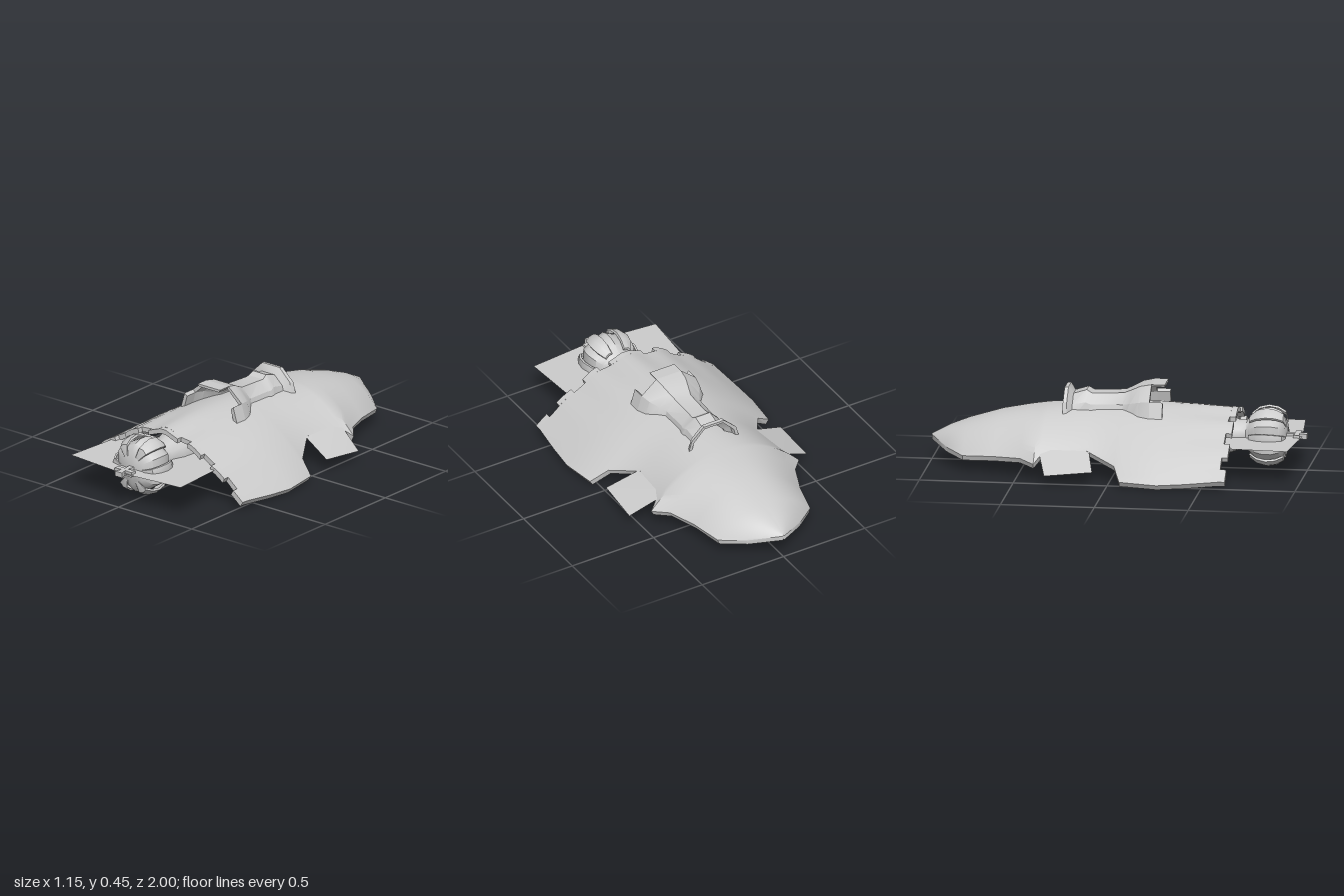
import * as THREE from 'three';
import { toCreasedNormals } from 'three/addons/utils/BufferGeometryUtils.js';

const V = (x, y, z) => new THREE.Vector3(x, y, z);
const material = new THREE.MeshStandardMaterial({ color: 0xcccccc, side: THREE.DoubleSide });

function add(parent, name, geometry) {
  const mesh = new THREE.Mesh(geometry, material);
  mesh.name = name;
  parent.add(mesh);
  return mesh;
}

function fromQuads(quads, crease) {
  const pos = [];
  for (const [a, b, c, d] of quads) for (const p of [a, b, c, a, c, d]) pos.push(p.x, p.y, p.z);
  const g = new THREE.BufferGeometry();
  g.setAttribute('position', new THREE.Float32BufferAttribute(pos, 3));
  return toCreasedNormals(g, crease);
}

// Closed thin shell between two grids: rows run along +z, columns along +x
function shell(outer, inner, crease = 0.6) {
  const quads = [], R = outer.length - 1, C = outer[0].length - 1;
  for (let i = 0; i < R; i++) {
    for (let j = 0; j < C; j++) {
      quads.push([outer[i][j], outer[i + 1][j], outer[i + 1][j + 1], outer[i][j + 1]]);
      quads.push([inner[i][j], inner[i][j + 1], inner[i + 1][j + 1], inner[i + 1][j]]);
    }
    quads.push([outer[i][0], inner[i][0], inner[i + 1][0], outer[i + 1][0]]);
    quads.push([outer[i][C], outer[i + 1][C], inner[i + 1][C], inner[i][C]]);
  }
  for (let j = 0; j < C; j++) {
    quads.push([outer[0][j], outer[0][j + 1], inner[0][j + 1], inner[0][j]]);
    quads.push([outer[R][j], inner[R][j], inner[R][j + 1], outer[R][j + 1]]);
  }
  return fromQuads(quads, crease);
}

// Hull stations: z, half width, crown height, edge height
const hullRows = [
  [-1, 0.006, 0.14, 0.135], [-0.9, 0.165, 0.19, 0.105], [-0.8, 0.285, 0.227, 0.09],
  [-0.63, 0.325, 0.278, 0.1], [-0.48, 0.385, 0.305, 0.108], [-0.4, 0.455, 0.315, 0.095],
  [-0.37, 0.41, 0.32, 0.13], [-0.13, 0.36, 0.335, 0.155], [0.03, 0.46, 0.343, 0.1],
  [0.07, 0.55, 0.345, 0.035], [0.27, 0.573, 0.345, 0.028], [0.42, 0.563, 0.338, 0.037],
  [0.6, 0.545, 0.325, 0.052],
];

function hullPoint([z, w, top, edge], t, inside) {
  const power = THREE.MathUtils.lerp(2.3, 1.75, THREE.MathUtils.smoothstep(z, -0.5, 0.1));
  const fold = 0.009 * THREE.MathUtils.smoothstep(z, 0.27, 0.6) * Math.cos((t * w * Math.PI * 2) / 0.2) * (1 - t * t);
  const y = edge + (top - edge) * (1 - Math.abs(t) ** power) + fold;
  return inside ? V(t * w * 0.97, y - 0.026, z) : V(t * w, y, z);
}

function hullPiece(rows, t0, t1, n) {
  const grid = (inside) => rows.map((r) =>
    Array.from({ length: n + 1 }, (_, j) => hullPoint(r, t0 + ((t1 - t0) * j) / n, inside)));
  return shell(grid(false), grid(true));
}

// Saddle stations: z, half width, top height, base height
const saddleRows = [
  [-0.285, 0.165, 0.425, 0.255], [-0.265, 0.155, 0.427, 0.26], [-0.24, 0.118, 0.39, 0.27],
  [-0.17, 0.118, 0.412, 0.27], [-0.14, 0.126, 0.395, 0.27], [-0.11, 0.118, 0.395, 0.27],
  [0.03, 0.122, 0.402, 0.27], [0.07, 0.15, 0.42, 0.27], [0.12, 0.185, 0.445, 0.27], [0.18, 0.2, 0.457, 0.27],
];
const saddleArch = [[-1, 0], [-0.83, 0.6], [-0.38, 1], [0.38, 1], [0.83, 0.6], [1, 0]];

function saddlePiece(rows, from = 0, to = 5) {
  const grid = (k, drop) => rows.map(([z, w, h, b]) =>
    saddleArch.slice(from, to + 1).map(([x, y]) => V(x * w * k, b + (h - b) * y - drop, z)));
  return shell(grid(1, 0), grid(0.9, 0.014), 0.5);
}

export function createModel() {
  const model = new THREE.Group();
  model.name = 'craft';

  // Arched hull with a toothed front rim
  const hull = new THREE.Group();
  hull.name = 'hull';
  model.add(hull);
  add(hull, 'hullShell', hullPiece(hullRows, -1, 1, 36));
  const rim = hullRows[hullRows.length - 1];
  const rimRows = [rim, [0.632, ...rim.slice(1)]];
  for (const [a, b] of [[-0.1, 0.1], [0.17, 0.26], [0.33, 0.42], [0.48, 0.545]]) {
    add(hull, 'rimTooth', hullPiece(rimRows, a / 0.545, b / 0.545, 5));
    if (a > 0) add(hull, 'rimTooth', hullPiece(rimRows, -b / 0.545, -a / 0.545, 5));
  }

  // Saddle on the back, with three teeth at its open front
  const saddle = new THREE.Group();
  saddle.name = 'saddle';
  model.add(saddle);
  add(saddle, 'saddleShell', saddlePiece(saddleRows));
  const lip = saddleRows[saddleRows.length - 1];
  for (const j of [0, 2, 4]) add(saddle, 'saddleTooth', saddlePiece([lip, [0.25, ...lip.slice(1)]], j, j + 1));

  // Side fins
  for (const s of [1, -1]) {
    add(model, s > 0 ? 'leftFin' : 'rightFin', fromQuads([[
      V(s * 0.32, 0.185, -0.4), V(s * 0.32, 0.17, -0.125), V(s * 0.537, 0.08, -0.075), V(s * 0.547, 0.055, -0.33),
    ]], 0.5));
  }

  // Flat plates beside the head
  for (const s of [1, -1]) {
    add(model, s > 0 ? 'leftPlate' : 'rightPlate', fromQuads([[
      V(0, 0.187, 0.45), V(0, 0.187, 0.975), V(s * 0.375, 0.187, 0.94), V(s * 0.34, 0.187, 0.45),
    ]], 0.5));
  }

  // Neck and lobed head, along z
  const head = new THREE.Group();
  head.name = 'head';
  head.position.y = 0.185;
  model.add(head);
  const profile = [[0, 0.42], [0.12, 0.42], [0.105, 0.58], [0.082, 0.64], [0.08, 0.68], [0.105, 0.7],
    [0.135, 0.73], [0.15, 0.775], [0.15, 0.82], [0.135, 0.86], [0.09, 0.888], [0, 0.892]];
  const core = new THREE.LatheGeometry(profile.map(([r, z]) => new THREE.Vector2(r, z)), 12);
  core.rotateX(Math.PI / 2);
  const p = core.attributes.position;
  for (let i = 0; i < p.count; i++) {
    if (p.getZ(i) < 0.69) continue;
    const k = 0.95 + 0.05 * Math.cos(6 * (Math.atan2(p.getY(i), p.getX(i)) - Math.PI / 2));
    p.setXY(i, p.getX(i) * k, p.getY(i) * k);
  }
  add(head, 'headCore', toCreasedNormals(core, 0.7));

  // Six curved flanges around the head: radius, z, half width
  const band = [[0.125, 0.7, 0.022], [0.155, 0.74, 0.035], [0.167, 0.79, 0.038], [0.16, 0.84, 0.034],
    [0.138, 0.88, 0.026], [0.09, 0.893, 0.012]];
  const bandGrid = (d) => band.map(([r, z, w]) => [-1, 0, 1].map((t) => V(t * w, r - d - 0.008 * t * t, z)));
  const flange = shell(bandGrid(0), bandGrid(0.012));
  for (let i = 0; i < 6; i++) add(head, 'headFlange', flange).rotation.z = Math.PI / 6 + (i * Math.PI) / 3;

  // Cross-shaped spike on the nose
  const cross = new THREE.Shape([[-0.016, -0.88], [0.016, -0.88], [0.012, -0.935], [0.058, -0.93], [0.058, -0.965],
    [0.012, -0.96], [0.025, -1], [-0.025, -1], [-0.012, -0.96], [-0.058, -0.965], [-0.058, -0.93], [-0.012, -0.935],
  ].map(([x, y]) => new THREE.Vector2(x, y)));
  const spike = new THREE.ExtrudeGeometry(cross, { depth: 0.028, bevelEnabled: false });
  spike.rotateX(-Math.PI / 2);
  spike.translate(0, -0.012, 0);
  add(head, 'noseCross', spike);

  return model;
}
